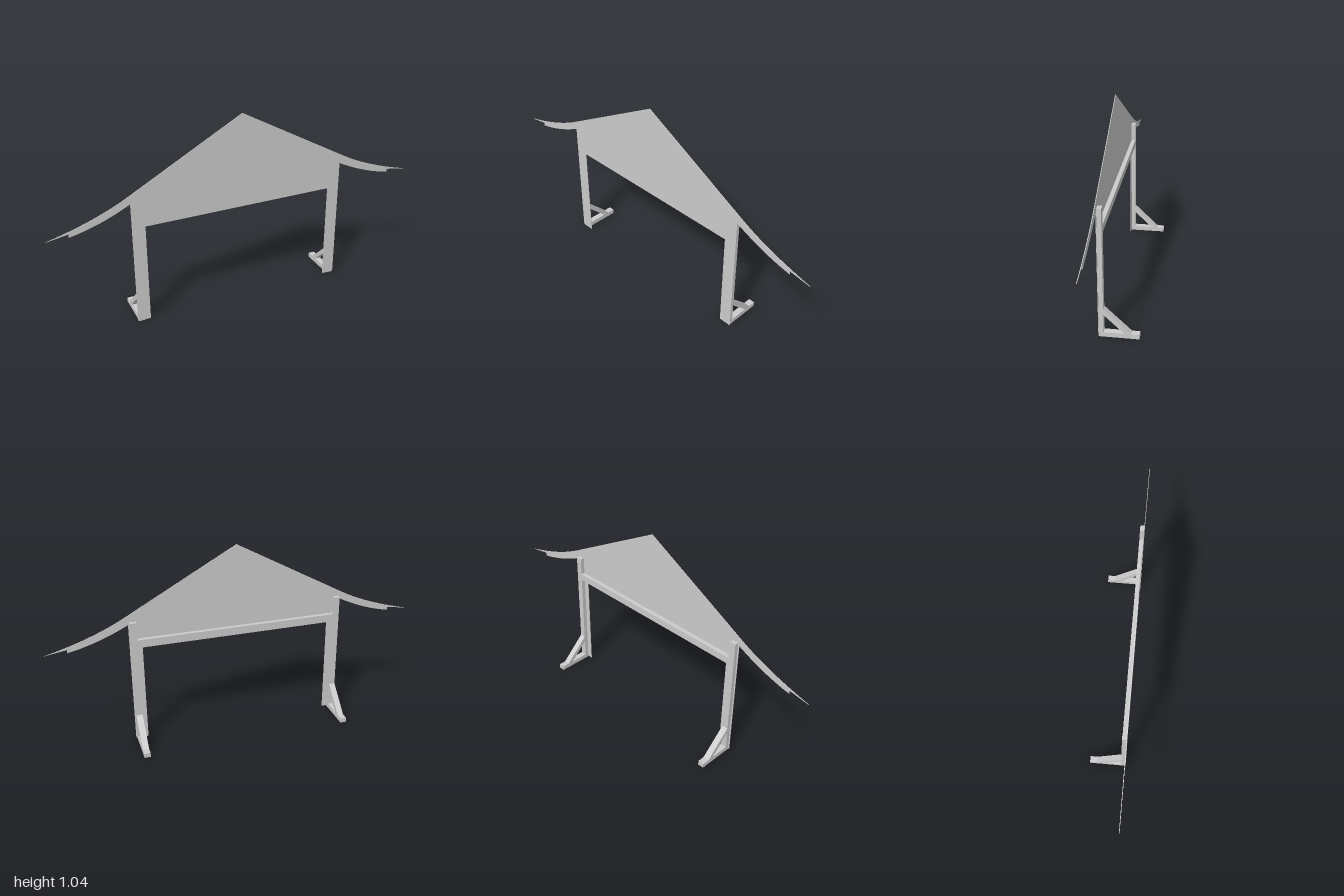
import * as THREE from 'three';

const FRONT = 0.1;      // front plane of the facade
const SKIN = 0.003;     // facade thickness
const BACK = 0.075;     // rear side of the posts
const TIMBER = 0.033;   // width of the frame timbers
const material = new THREE.MeshStandardMaterial({ color: 0xcccccc, flatShading: true, side: THREE.DoubleSide });

function add(parent, name, geometry) {
  const mesh = new THREE.Mesh(geometry, material);
  mesh.name = name;
  parent.add(mesh);
  return mesh;
}

// Box given by its lower and upper corners
function block(parent, name, [x0, y0, z0], [x1, y1, z1]) {
  const mesh = add(parent, name, new THREE.BoxGeometry(x1 - x0, y1 - y0, z1 - z0));
  mesh.position.set((x0 + x1) / 2, (y0 + y1) / 2, (z0 + z1) / 2);
}

// Gable with two legs and swept eaves, cut from a thin sheet
function facadeGeometry() {
  const s = new THREE.Shape();
  s.moveTo(0, 1.042);
  s.lineTo(-0.6, 0.712);
  s.quadraticCurveTo(-0.76, 0.624, -1, 0.565);
  s.lineTo(-0.89, 0.583);
  s.lineTo(-0.893, 0.565);
  s.quadraticCurveTo(-0.74, 0.594, -0.587, 0.675);
  s.lineTo(-0.587, 0.004);
  s.lineTo(-0.519, 0.004);
  s.lineTo(-0.519, 0.54);
  s.lineTo(0.508, 0.54);
  s.lineTo(0.508, 0.004);
  s.lineTo(0.575, 0.004);
  s.lineTo(0.575, 0.675);
  s.quadraticCurveTo(0.735, 0.594, 0.888, 0.565);
  s.lineTo(0.886, 0.583);
  s.lineTo(1, 0.565);
  s.quadraticCurveTo(0.76, 0.624, 0.6, 0.712);
  s.closePath();
  return new THREE.ExtrudeGeometry(s, { depth: SKIN, bevelEnabled: false, curveSegments: 10 });
}

// Diagonal strut, drawn in the z-y plane and extruded along x
function braceGeometry() {
  const s = new THREE.Shape([[BACK, 0.157], [BACK, 0.125], [-0.027, 0.025], [-0.06, 0.025]]
    .map(([z, y]) => new THREE.Vector2(z, y)));
  return new THREE.ExtrudeGeometry(s, { depth: TIMBER, bevelEnabled: false }).rotateY(-Math.PI / 2);
}

export function createModel() {
  const model = new THREE.Group();
  model.name = 'gableFacade';
  const inner = FRONT - SKIN;

  add(model, 'facadePanel', facadeGeometry()).position.z = inner;

  // Support at each end: post, rearward foot and brace
  const starts = { right: -0.581, left: 0.536 };
  for (const [side, x] of Object.entries(starts)) {
    const support = new THREE.Group();
    support.name = side + 'Support';
    block(support, 'post', [x, 0.025, BACK], [x + TIMBER, 0.69, inner]);
    block(support, 'foot', [x, 0, -0.1], [x + TIMBER, 0.025, inner]);
    add(support, 'brace', braceGeometry()).position.x = x + TIMBER;
    model.add(support);
  }

  // Rail joining the posts behind the gable
  block(model, 'crossRail', [starts.right + TIMBER, 0.556, BACK], [starts.left, 0.594, inner]);
  return model;
}
